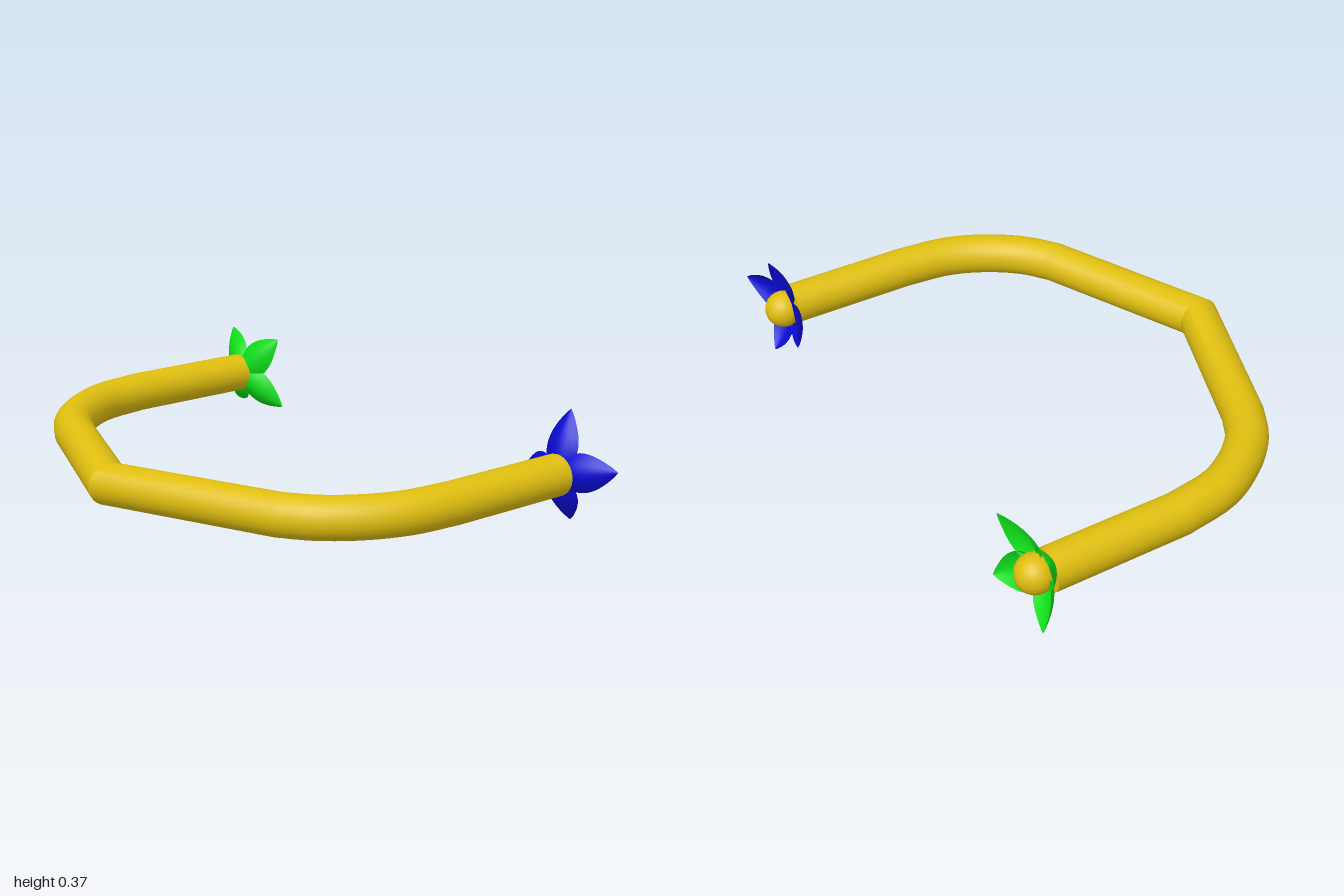
import * as THREE from 'three';
import { toCreasedNormals } from 'three/addons/utils/BufferGeometryUtils.js';

const RADIUS = 0.07, SIDES = 28, END_Z = -0.575;
const gold = new THREE.MeshStandardMaterial({ color: 0xdfbe10 });
const green = new THREE.MeshStandardMaterial({ color: 0x0fdc1a, side: THREE.DoubleSide });
const blue = new THREE.MeshStandardMaterial({ color: 0x0a0ad2, side: THREE.DoubleSide });

function addMesh(parent, name, geometry, material) {
  const mesh = new THREE.Mesh(geometry, material);
  mesh.name = name;
  parent.add(mesh);
  return mesh;
}

const pathY = (z) => 0.175 - 0.013 * Math.max(0, z);

// Smooth elbow through [x, z] points
function elbow(points) {
  const curve = new THREE.CatmullRomCurve3(points.map(([x, z]) => new THREE.Vector3(x, pathY(z), z)));
  return curve.getPoints(20);
}

// Round tube along a polyline, with mitred corners
function mitredTube(path) {
  const pos = [], index = [], up = new THREE.Vector3(0, 1, 0);
  path.forEach((p, i) => {
    const a = path[Math.max(i - 1, 0)], b = path[Math.min(i + 1, path.length - 1)];
    const before = (i ? p.clone().sub(a) : b.clone().sub(p)).normalize();
    const after = (b !== p ? b.clone().sub(p) : p.clone().sub(a)).normalize();
    const side = before.clone().add(after).cross(up).normalize();
    const stretch = 1 / Math.cos(before.angleTo(after) / 2);
    for (let j = 0; j <= SIDES; j++) {
      const t = (j / SIDES) * Math.PI * 2;
      const v = p.clone().addScaledVector(side, Math.cos(t) * RADIUS * stretch);
      pos.push(v.x, v.y + Math.sin(t) * RADIUS, v.z);
      if (i && j) {
        const c = i * (SIDES + 1) + j, d = c - SIDES - 1;
        index.push(d - 1, c - 1, d, c - 1, c, d);
      }
    }
  });
  const geometry = new THREE.BufferGeometry();
  geometry.setAttribute('position', new THREE.Float32BufferAttribute(pos, 3));
  geometry.setIndex(index);
  return toCreasedNormals(geometry, 0.5);
}

// Pointed petal along +x: cupped across its width, tip curling backwards
function petalGeometry(length) {
  const geometry = new THREE.PlaneGeometry(1, 2, 14, 8);
  const p = geometry.attributes.position;
  for (let i = 0; i < p.count; i++) {
    const u = p.getX(i) + 0.5, v = p.getY(i);
    const half = 0.055 * Math.pow(Math.max(0, Math.sin(Math.PI * Math.pow(u, 0.85))), 0.85) + 0.018 * (1 - u);
    const z = -0.085 * Math.pow(u, 2.2) - 0.03 * v * v * (half / 0.055);
    p.setXYZ(i, u * length, v * half, z);
  }
  geometry.computeVertexNormals();
  return geometry;
}

// Four petals round a ball at the end of an arm; petals are [degrees, length]
function flower(name, x, ballX, material, petals) {
  const group = new THREE.Group();
  group.name = name;
  petals.forEach(([degrees, length]) => {
    const petal = addMesh(group, 'petal', petalGeometry(length), material);
    petal.position.set(ballX, 0.175, -0.565);
    petal.rotation.z = THREE.MathUtils.degToRad(degrees);
  });
  addMesh(group, 'flowerCentre', new THREE.SphereGeometry(0.064, 24, 16), gold).position.set(ballX, 0.173, -0.608);
  const cap = addMesh(group, 'armEndCap', new THREE.CircleGeometry(RADIUS, SIDES), gold);
  cap.position.set(x, 0.175, END_Z);
  cap.rotation.y = Math.PI;
  return group;
}

export function createModel() {
  const model = new THREE.Group();
  model.name = 'flowerTippedBand';

  // Band: straight arm, elbow, pointed front, elbow, straight arm
  const path = [
    new THREE.Vector3(-0.87, 0.175, END_Z),
    ...elbow([[-0.87, -0.1], [-0.837, 0.08], [-0.765, 0.21], [-0.675, 0.31], [-0.57, 0.375]]),
    new THREE.Vector3(-0.03, pathY(0.595), 0.595),
    ...elbow([[0.55, 0.365], [0.645, 0.295], [0.73, 0.185], [0.787, 0.05], [0.807, -0.12]]),
    new THREE.Vector3(0.807, 0.175, END_Z),
  ];
  addMesh(model, 'band', mitredTube(path), gold);

  model.add(flower('rightFlower', -0.87, -0.86, green, [[46, 0.203], [134, 0.203], [230, 0.172], [326, 0.205]]));
  model.add(flower('leftFlower', 0.807, 0.797, blue, [[11, 0.206], [92, 0.205], [191, 0.2], [274, 0.168]]));
  return model;
}
